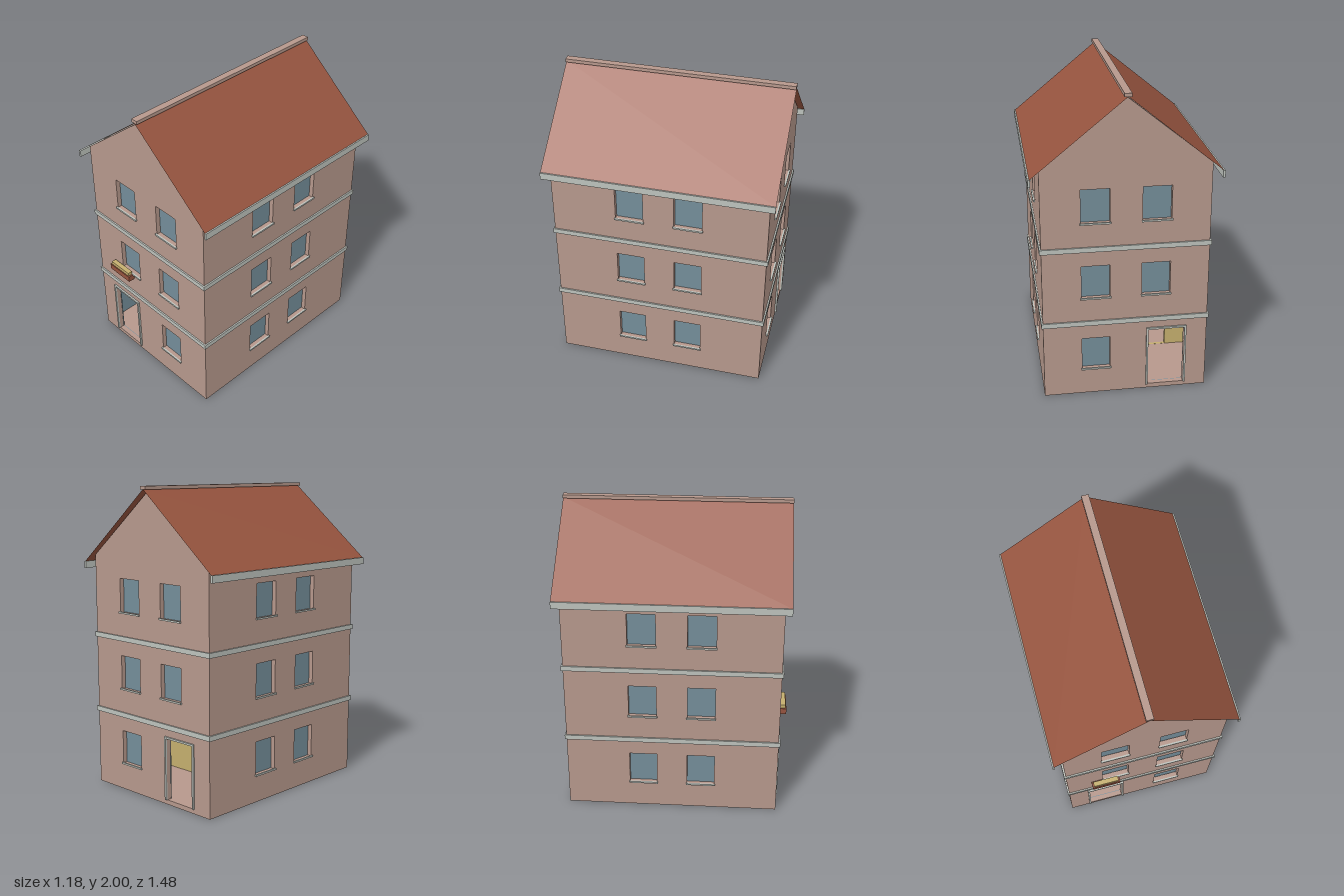
import * as THREE from 'three';

const mat = (name, color, side = THREE.FrontSide) => {
  const m = new THREE.MeshStandardMaterial({ color, side });
  m.name = name;
  return m;
};

export function createModel() {
  const house = new THREE.Group();
  house.name = 'house';
  const plaster = mat('pink plaster', 0xb6988c);
  const trim = mat('pale grey trim', 0xbdc2bc);
  const glass = mat('blue grey glass', 0x748d99);
  const tile = mat('red brown tile', 0x96543f, THREE.DoubleSide);
  const ochre = mat('ochre', 0xc4ae6e);

  const add = (parent, name, geometry, material) => {
    const mesh = new THREE.Mesh(geometry, material);
    mesh.name = name;
    parent.add(mesh);
    return mesh;
  };
  // box given by its min and max corners
  const box = (parent, name, material, x0, x1, y0, y1, z0, z1) => {
    const mesh = add(parent, name, new THREE.BoxGeometry(x1 - x0, y1 - y0, z1 - z0), material);
    mesh.position.set((x0 + x1) / 2, (y0 + y1) / 2, (z0 + z1) / 2);
    return mesh;
  };
  // upright panel with rectangular holes [x0, x1, y0, y1]
  const panel = (parent, name, material, outline, holes, z, depth) => {
    const shape = new THREE.Shape(outline.map(([x, y]) => new THREE.Vector2(x, y)));
    for (const [x0, x1, y0, y1] of holes) {
      shape.holes.push(new THREE.Path([[x0, y0], [x0, y1], [x1, y1], [x1, y0]]
        .map(([x, y]) => new THREE.Vector2(x, y))));
    }
    const geo = new THREE.ExtrudeGeometry(shape, { depth, bevelEnabled: false });
    add(parent, name, geo, material).position.z = z;
  };
  const rect = (w, y0, y1) => [[-w, y0], [w, y0], [w, y1], [-w, y1]];

  const W = 0.525, D = 0.695, T = 0.03;
  const floors = [0.18, 0.685, 1.19];
  const sides = [-1, 1];
  const windowHoles = floors.flatMap(y => sides.map(s => [s * 0.19 - 0.09, s * 0.19 + 0.09, y, y + 0.22]));
  const door = [-0.38, -0.145, 0.03, 0.435];
  const endWindows = windowHoles.slice(1); // the door replaces one ground floor window

  // front and back gable walls
  const gable = [[-W, 0], [W, 0], [W, 1.545], [0, 1.968], [-W, 1.545]];
  for (const s of sides) {
    const wall = new THREE.Group();
    wall.name = s > 0 ? 'frontWall' : 'backWall';
    house.add(wall);
    panel(wall, 'gableWall', plaster, gable, [door, ...endWindows], s > 0 ? D - T : -D, T);
    panel(wall, 'windowGlass', glass, rect(0.49, 0.03, 1.5), [door], s * 0.66 - 0.002, 0.004);
    const z0 = s > 0 ? D : -D - 0.012, z1 = z0 + 0.012;
    for (const [x0, x1, y] of endWindows) {
      box(wall, 'windowSill', trim, x0 - 0.006, x1 + 0.006, y - 0.006, y + 0.005, z0, z1);
    }
    const [dx0, dx1, dy0, dy1] = door;
    box(wall, 'doorFrameSide', trim, dx0 - 0.012, dx0, dy0, dy1, z0, z1);
    box(wall, 'doorFrameSide', trim, dx1, dx1 + 0.012, dy0, dy1, z0, z1);
    box(wall, 'doorFrameTop', trim, dx0 - 0.012, dx1 + 0.012, dy1, dy1 + 0.012, z0, z1);
  }

  // long side walls, each built facing +z and then turned
  for (const s of sides) {
    const wall = new THREE.Group();
    wall.name = s > 0 ? 'leftWall' : 'rightWall';
    wall.rotation.y = s * Math.PI / 2;
    house.add(wall);
    panel(wall, 'sideWall', plaster, rect(D - T, 0, 1.545), windowHoles, W - T, T);
    panel(wall, 'windowGlass', glass, rect(0.655, 0.03, 1.5), [], 0.49, 0.004);
    for (const [x0, x1, y] of windowHoles) {
      box(wall, 'windowSill', trim, x0 - 0.006, x1 + 0.006, y - 0.006, y + 0.005, W, W + 0.012);
    }
  }

  // bands between the storeys
  for (const y of [0.495, 1.003]) {
    for (const s of sides) {
      const z = s * (D + 0.005), x = s * (W + 0.005);
      box(house, 'endBand', trim, -W - 0.01, W + 0.01, y, y + 0.032, z - 0.005, z + 0.005);
      box(house, 'sideBand', trim, x - 0.005, x + 0.005, y, y + 0.032, -D, D);
    }
  }

  // ground floor interior
  box(house, 'groundFloor', plaster, -W + T, W - T, 0, 0.03, -D + T, D - T);
  box(house, 'ceiling', plaster, -0.488, 0.488, 0.5, 0.52, -0.655, 0.655);
  panel(house, 'innerPartition', ochre, rect(0.488, 0.03, 0.5), [[-0.355, -0.175, 0.031, 0.408]], -0.21, 0.02);

  // roof slopes, eaves boards and ridge cap
  const roofZ = 0.735, run = 0.585, rise = 0.48;
  for (const s of sides) {
    const slope = new THREE.PlaneGeometry(Math.hypot(run, rise), roofZ * 2).rotateX(-Math.PI / 2);
    const mesh = add(house, 'roofSlope', slope, tile);
    mesh.rotation.z = -s * Math.atan2(rise, run);
    mesh.position.set(s * run / 2, 1.98 - rise / 2, 0);
    const x = s * 0.585;
    box(house, 'eavesBoard', trim, x - 0.007, x + 0.007, 1.457, 1.502, -roofZ, roofZ);
  }
  box(house, 'ridgeCap', plaster, -0.023, 0.023, 1.978, 2, -roofZ, roofZ);

  // flower box under a front window
  box(house, 'flowerBox', tile, -0.36, -0.167, 0.645, 0.685, D, 0.741);
  box(house, 'flowers', ochre, -0.35, -0.178, 0.685, 0.708, 0.703, 0.735);

  return house;
}
